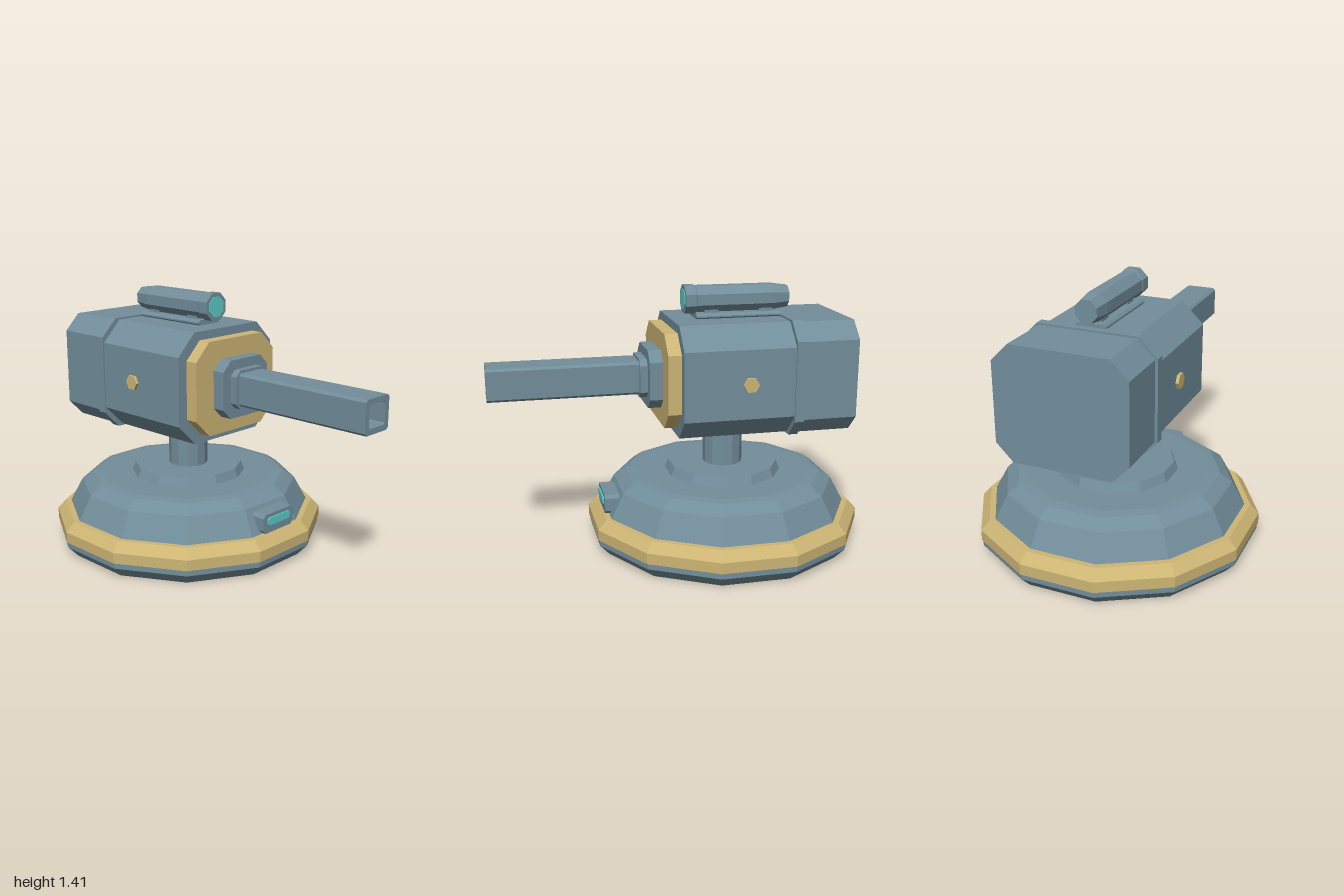
import * as THREE from 'three';

const steel = new THREE.MeshStandardMaterial({ color: 0x728e9b });
steel.name = 'blue grey steel';
const gold = new THREE.MeshStandardMaterial({ color: 0xcdb574 });
gold.name = 'sand gold';
const glow = new THREE.MeshStandardMaterial({ color: 0x5bcdc6 });
glow.name = 'turquoise glass';

// Faceted mesh: unshared vertices give hard, flat faces
function part(parent, name, geometry, material) {
  const geo = geometry.index ? geometry.toNonIndexed() : geometry;
  geo.computeVertexNormals();
  const mesh = new THREE.Mesh(geo, material);
  mesh.name = name;
  parent.add(mesh);
  return mesh;
}

// Polygonal turned solid; radii are measured to the flats
function turned(sides, profile) {
  const k = 1 / Math.cos(Math.PI / sides);
  const pts = profile.map(([r, y]) => new THREE.Vector2(r * k, y));
  return new THREE.LatheGeometry(pts, sides, Math.PI / sides);
}

// Rectangle with cut corners, centred on x = 0
function cutRect(path, hw, y0, y1, c) {
  path.moveTo(-hw + c, y0);
  [[hw - c, y0], [hw, y0 + c], [hw, y1 - c], [hw - c, y1],
    [-hw + c, y1], [-hw, y1 - c], [-hw, y0 + c]].forEach(([x, y]) => path.lineTo(x, y));
  path.closePath();
  return path;
}

// Cut-corner block running from z0 to z1, optionally hollow
function block(hw, y0, y1, c, z0, z1, hole) {
  const shape = cutRect(new THREE.Shape(), hw, y0, y1, c);
  if (hole) shape.holes.push(cutRect(new THREE.Path(), ...hole));
  const geo = new THREE.ExtrudeGeometry(shape, { depth: z1 - z0, bevelEnabled: false });
  return geo.translate(0, 0, z0);
}

export function createModel() {
  const model = new THREE.Group();
  model.name = 'turret';

  // Twelve-sided base and neck
  const base = new THREE.Group();
  base.name = 'base';
  base.position.z = -0.27;
  model.add(base);
  part(base, 'baseSkirt', turned(12, [[0, 0], [0.67, 0], [0.723, 0.06], [0.723, 0.092]]), steel);
  part(base, 'baseRing', turned(12, [[0.7, 0.092], [0.73, 0.092], [0.73, 0.15], [0.685, 0.2], [0.64, 0.2]]), gold);
  part(base, 'baseDome', turned(12, [[0.655, 0.2], [0.587, 0.33], [0.525, 0.376], [0.475, 0.383], [0, 0.383]]), steel);
  part(base, 'pedestal', turned(12, [[0.31, 0.38], [0.29, 0.43], [0, 0.43]]), steel);
  part(base, 'neck', turned(12, [[0.105, 0.42], [0.105, 0.66]]), steel);

  // Indicator lamp on the front of the base
  const lamp = new THREE.Group();
  lamp.name = 'baseLamp';
  model.add(lamp);
  part(lamp, 'lampHousing', block(0.117, 0.205, 0.31, 0.018, 0.33, 0.41), steel);
  part(lamp, 'lampGlass', block(0.085, 0.248, 0.29, 0.009, 0.41, 0.418), glow);

  // Gun housing
  const gun = new THREE.Group();
  gun.name = 'gun';
  model.add(gun);
  part(gun, 'mainHousing', block(0.352, 0.645, 1.24, 0.115, -0.56, 0.03), steel);
  part(gun, 'housingCollar', block(0.36, 0.635, 1.25, 0.095, -0.61, -0.56), steel);
  part(gun, 'rearHousing', block(0.345, 0.645, 1.24, 0.09, -0.905, -0.61), steel);
  part(gun, 'facePlate', block(0.295, 0.695, 1.195, 0.095, 0.03, 0.1), gold);
  part(gun, 'barrelMount', block(0.168, 0.785, 1.095, 0.055, 0.1, 0.17), steel);
  part(gun, 'barrelCollar', block(0.115, 0.838, 1.045, 0.032, 0.17, 0.21), steel);
  part(gun, 'barrel', block(0.093, 0.855, 1.03, 0.013, 0.21, 1, [0.064, 0.885, 1.002, 0.008]), steel);

  // Hexagonal side bolts
  for (const side of [-1, 1]) {
    const geo = new THREE.CylinderGeometry(0.042, 0.042, 0.03, 6);
    geo.rotateZ(Math.PI / 2);
    const bolt = part(gun, side > 0 ? 'leftBolt' : 'rightBolt', geo, gold);
    bolt.position.set(side * 0.354, 0.943, -0.32);
  }

  // Sight on its rail
  const sight = new THREE.Group();
  sight.name = 'sight';
  gun.add(sight);
  part(sight, 'sightRail', block(0.078, 1.235, 1.267, 0.012, -0.57, -0.1), steel);
  for (const z of [-0.19, -0.49]) {
    part(sight, 'sightFoot', block(0.04, 1.26, 1.29, 0.004, z - 0.037, z + 0.037), steel);
  }
  const tube = turned(8, [[0, -0.615], [0.056, -0.615], [0.068, -0.525], [0.068, -0.11],
    [0.073, -0.1], [0.073, -0.045], [0, -0.045]]);
  part(sight, 'sightTube', tube.rotateX(Math.PI / 2), steel).position.y = 1.338;
  const lens = turned(8, [[0.053, -0.045], [0.053, -0.041], [0, -0.041]]);
  part(sight, 'sightLens', lens.rotateX(Math.PI / 2), glow).position.y = 1.338;

  return model;
}
